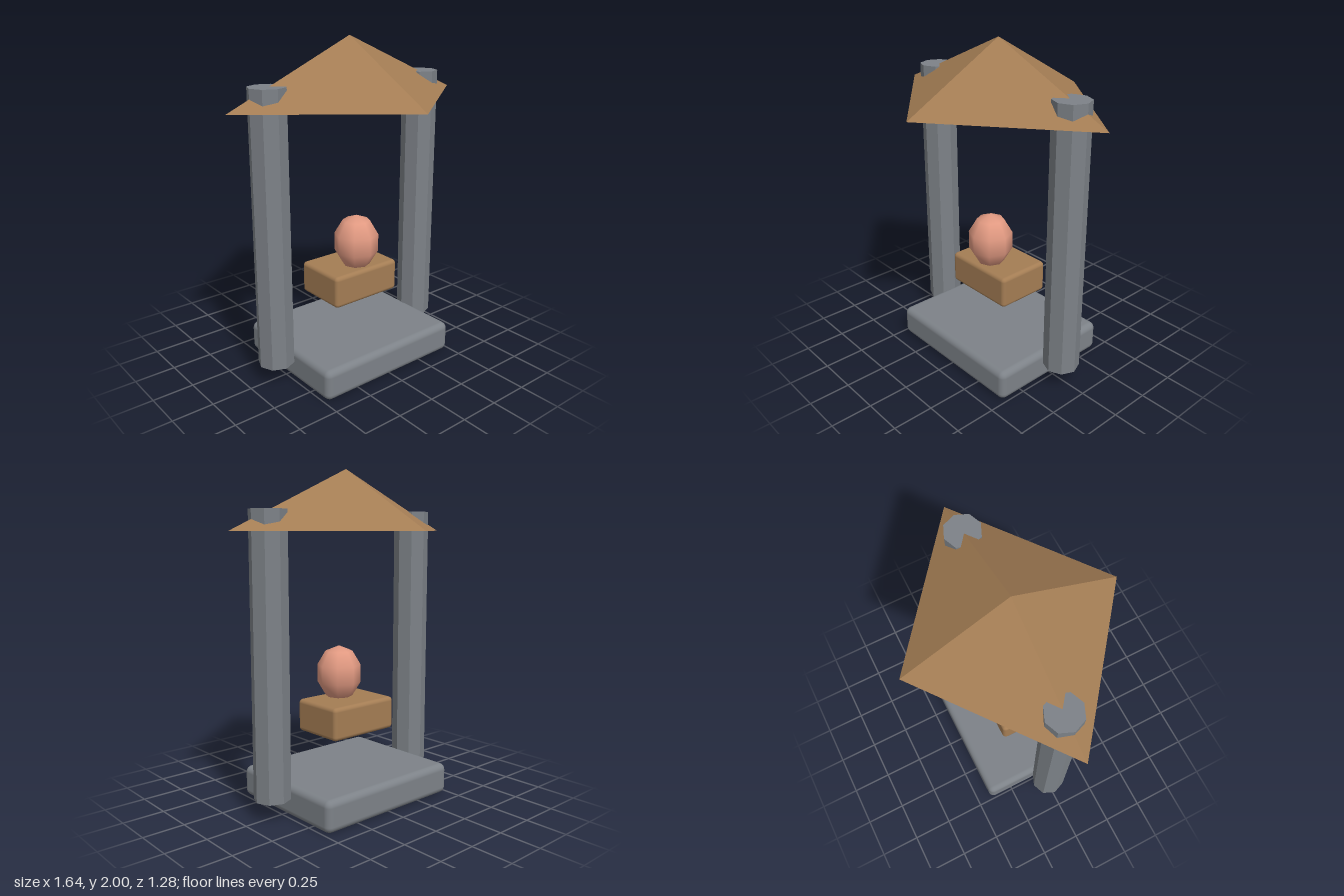
import * as THREE from 'three';
import { RoundedBoxGeometry } from 'three/addons/geometries/RoundedBoxGeometry.js';

const stone = new THREE.MeshStandardMaterial({ color: 0x7d8288 });
const stoneFlat = new THREE.MeshStandardMaterial({ color: 0x7d8288, flatShading: true });
const wood = new THREE.MeshStandardMaterial({ color: 0xa47d54 });
const woodFlat = new THREE.MeshStandardMaterial({ color: 0xa47d54, flatShading: true });
const clay = new THREE.MeshStandardMaterial({ color: 0xe29a82 });

export function createModel() {
  const model = new THREE.Group();
  model.name = 'shrine';

  const add = (name, geometry, material, x, y, z = 0) => {
    const mesh = new THREE.Mesh(geometry, material);
    mesh.name = name;
    mesh.position.set(x, y, z);
    model.add(mesh);
    return mesh;
  };

  // Rounded stone base
  add('base', new RoundedBoxGeometry(0.98, 0.19, 0.82, 3, 0.04), stone, 0, 0.095);

  // Eight-sided pillars that poke through the roof
  const pillar = new THREE.CylinderGeometry(0.109, 0.109, 1.645, 8);
  for (const [name, side] of [['leftPillar', 1], ['rightPillar', -1]]) {
    add(name, pillar, stoneFlat, side * 0.566, 0.9375);
  }

  // Four-sided roof with its corners on the axes, wider than deep
  const roof = new THREE.ConeGeometry(1, 0.36, 4);
  roof.scale(0.82, 1, 0.64);
  add('roof', roof, woodFlat, 0, 1.82);

  // Floating wooden block
  add('offeringBlock', new RoundedBoxGeometry(0.48, 0.2, 0.35, 3, 0.025), wood, 0, 0.52);

  // Low-poly egg resting in the block, towards the front
  const egg = new THREE.SphereGeometry(1, 8, 5);
  egg.scale(0.142, 0.174, 0.142);
  add('egg', egg, clay, 0, 0.766, 0.065);

  return model;
}
